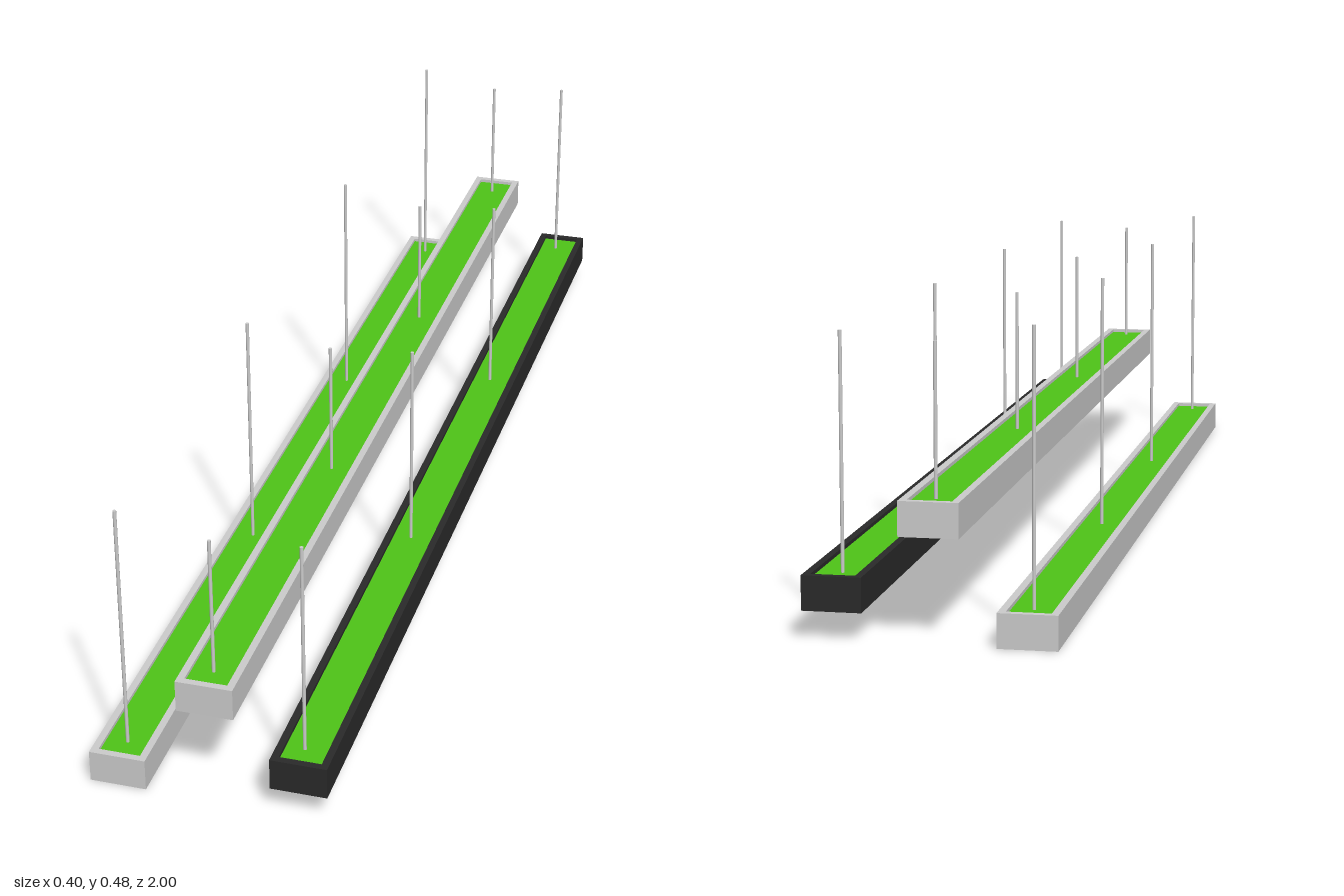
import * as THREE from 'three';

const LENGTH = 2, WIDTH = 0.094, HEIGHT = 0.055, WALL = 0.012;

const material = (color) => new THREE.MeshStandardMaterial({ color });
const grey = material(0xcccccc);
const black = material(0x2a2a2a);
const green = material(0x4ec418);

function rectangle(PathType, w, l) {
  return new PathType([
    new THREE.Vector2(-w / 2, -l / 2), new THREE.Vector2(w / 2, -l / 2),
    new THREE.Vector2(w / 2, l / 2), new THREE.Vector2(-w / 2, l / 2),
  ]);
}

function mesh(name, geometry, mat) {
  const m = new THREE.Mesh(geometry, mat);
  m.name = name;
  return m;
}

// One hanging planter light: open frame, recessed panel, four rods
function createLamp({ name, x, y, top, rodX, frameMaterial }) {
  const lamp = new THREE.Group();
  lamp.name = name;
  lamp.position.set(x, y, 0);

  // Open rectangular frame, extruded upwards
  const outline = rectangle(THREE.Shape, WIDTH, LENGTH);
  outline.holes.push(rectangle(THREE.Path, WIDTH - 2 * WALL, LENGTH - 2 * WALL));
  const frame = new THREE.ExtrudeGeometry(outline, { depth: HEIGHT, bevelEnabled: false });
  frame.rotateX(-Math.PI / 2);
  lamp.add(mesh('frame', frame, frameMaterial));

  // Panel set slightly inside the frame, above and below
  const panelBottom = 0.009, panelTop = HEIGHT - 0.006;
  const panel = mesh('panel', new THREE.BoxGeometry(
    WIDTH - 2 * WALL, panelTop - panelBottom, LENGTH - 2 * WALL), green);
  panel.position.y = (panelTop + panelBottom) / 2;
  lamp.add(panel);

  // Thin suspension rods rising from the panel
  const rodLength = top - y - panelTop;
  const rodGeometry = new THREE.CylinderGeometry(0.003, 0.003, rodLength, 12);
  for (const z of [0.95, 0.302, -0.312, -0.945]) {
    const rod = mesh('suspensionRod', rodGeometry, grey);
    rod.position.set(rodX - x, panelTop + rodLength / 2, z);
    lamp.add(rod);
  }
  return lamp;
}

export function createModel() {
  const model = new THREE.Group();
  model.name = 'hangingLamps';
  model.add(
    createLamp({ name: 'rightLamp', x: -0.151, y: 0, top: 0.483, rodX: -0.151, frameMaterial: grey }),
    createLamp({ name: 'middleLamp', x: 0, y: 0.165, top: 0.455, rodX: 0, frameMaterial: grey }),
    createLamp({ name: 'leftLamp', x: 0.151, y: 0.045, top: 0.468, rodX: 0.147, frameMaterial: black }),
  );
  return model;
}
